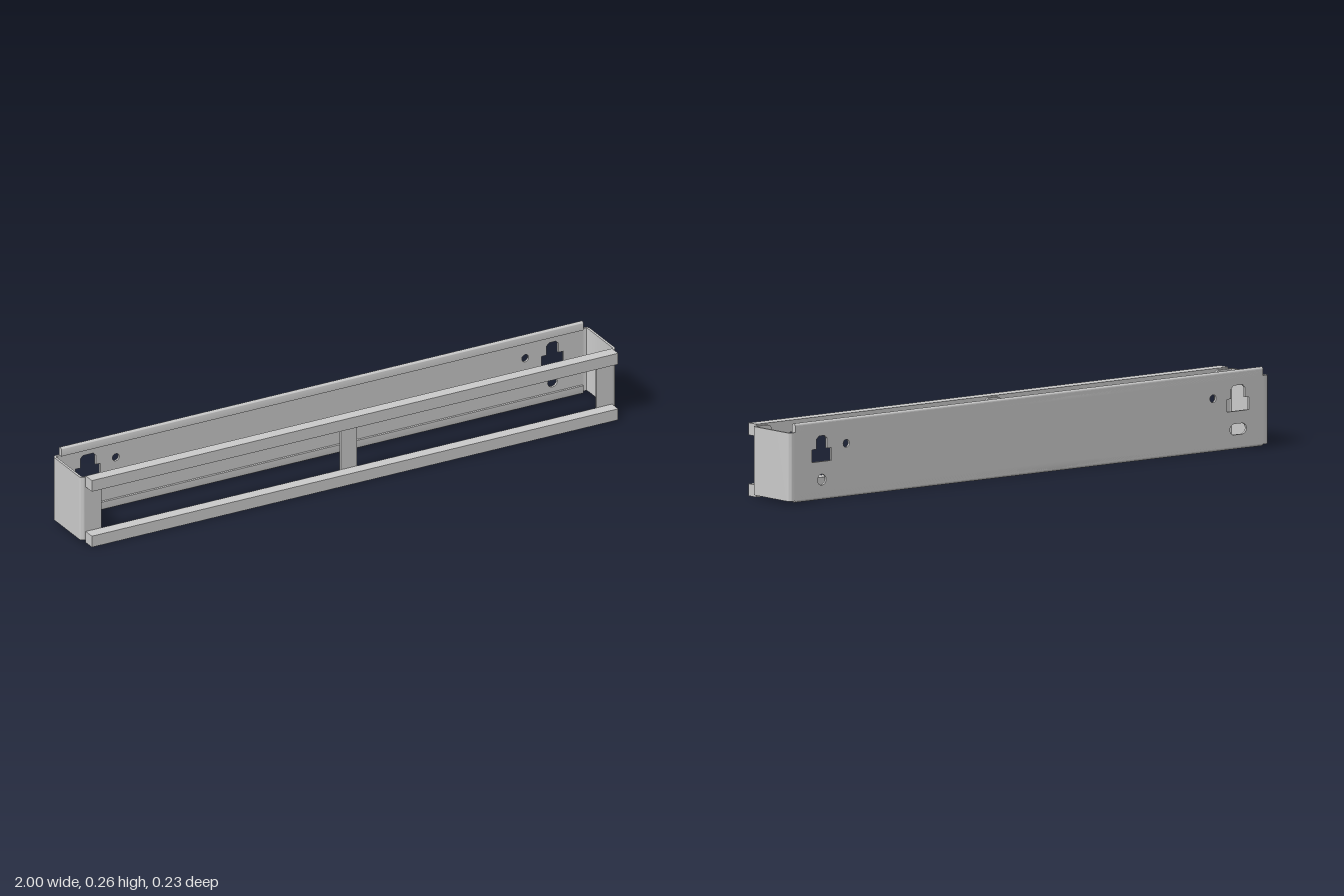
import * as THREE from 'three';
import { toCreasedNormals } from 'three/addons/utils/BufferGeometryUtils.js';

const T = 0.008;                       // sheet thickness
const BACK = -0.116, FRONT = 0.077;    // outer faces of the bent sheet
const LOW = 0.01, HIGH = 0.236;        // height range of the end walls
const END = 0.975;                     // half length of the flat back sheet

export function createModel() {
  const model = new THREE.Group();
  model.name = 'mountingFrame';
  const material = new THREE.MeshStandardMaterial({ color: 0xcccccc });

  const add = (name, geometry) => {
    const mesh = new THREE.Mesh(geometry, material);
    mesh.name = name;
    model.add(mesh);
    return mesh;
  };
  const extrude = (shape, depth) => toCreasedNormals(
    new THREE.ExtrudeGeometry(shape, { depth, bevelEnabled: false, curveSegments: 10 }), 0.6);
  const polygon = (points) => new THREE.Path(points.map(([x, y]) => new THREE.Vector2(x, y)));
  const circle = (x, y, r) => new THREE.Path().absarc(x, y, r, 0, Math.PI * 2, true);

  // Stepped hanging hole: wide below, narrow above
  const hangingHole = (x, wide, narrow) => polygon([
    [x - wide, 0.13], [x + wide, 0.13], [x + wide, 0.172], [x + narrow, 0.172],
    [x + narrow, 0.205], [x + narrow - 0.01, 0.215], [x - narrow + 0.01, 0.215],
    [x - narrow, 0.205], [x - narrow, 0.172], [x - wide, 0.172]]);

  // Back sheet with its mounting holes
  const back = new THREE.Shape([
    [-END, 0.012], [END, 0.012], [END, 0.257], [-END, 0.257],
  ].map(([x, y]) => new THREE.Vector2(x, y)));
  const slot = new THREE.Path();
  slot.absarc(-0.888, 0.07, 0.018, Math.PI / 2, Math.PI * 1.5, false);
  slot.absarc(-0.855, 0.07, 0.018, -Math.PI / 2, Math.PI / 2, false);
  back.holes.push(
    hangingHole(-0.871, 0.046, 0.029), hangingHole(0.864, 0.041, 0.022),
    slot, circle(0.864, 0.07, 0.018),
    circle(-0.767, 0.18, 0.013), circle(0.762, 0.18, 0.013));
  add('backSheet', extrude(back, T)).position.z = BACK;

  // Folded hems along the top and bottom of the back sheet
  const hem = (name, edge, dir) => {
    const r = 0.008, c = edge - dir * r, inner = edge - dir * 0.03;
    const s = new THREE.Shape();
    s.moveTo(-r, inner);
    s.lineTo(-r, c);
    s.absarc(0, c, r, Math.PI, 0, dir > 0);
    s.lineTo(r, inner);
    const g = extrude(s, END * 2);
    g.rotateY(Math.PI / 2);
    add(name, g).position.set(-END, 0, BACK + r);
  };
  hem('topHem', 0.265, 1);
  hem('bottomHem', 0.004, -1);

  // Upright strip with chosen rounded sides, lying in the front plane
  const strip = (name, x0, x1, r0, r1) => {
    const s = new THREE.Shape();
    s.moveTo(x0 + r0, LOW);
    s.lineTo(x1 - r1, LOW);
    s.quadraticCurveTo(x1, LOW, x1, LOW + r1);
    s.lineTo(x1, HIGH - r1);
    s.quadraticCurveTo(x1, HIGH, x1 - r1, HIGH);
    s.lineTo(x0 + r0, HIGH);
    s.quadraticCurveTo(x0, HIGH, x0, HIGH - r0);
    s.lineTo(x0, LOW + r0);
    s.quadraticCurveTo(x0, LOW, x0 + r0, LOW);
    add(name, extrude(s, T)).position.z = FRONT - T;
  };
  strip('centreStrip', -0.03, 0.03, 0.015, 0.015);
  strip('leftFlange', 0.925, 0.985, 0.02, 0);
  strip('rightFlange', -0.985, -0.925, 0, 0.02);

  // End walls with rounded bends into the back sheet and front flange
  for (const [side, label] of [[1, 'left'], [-1, 'right']]) {
    const s = new THREE.Shape();
    const line = (x, z) => s.lineTo(side * x, -z);
    const bend = (cx, cz, x, z) => s.quadraticCurveTo(side * cx, -cz, side * x, -z);
    s.moveTo(side * END, -BACK);
    line(0.985, BACK);
    bend(1, BACK, 1, BACK + 0.015);
    line(1, FRONT - 0.015);
    bend(1, FRONT, 0.985, FRONT);
    line(0.985, FRONT - T);
    bend(1 - T, FRONT - T, 1 - T, FRONT - 0.015);
    line(1 - T, BACK + 0.015);
    bend(1 - T, BACK + T, 0.985, BACK + T);
    line(END, BACK + T);
    const g = extrude(s, HIGH - LOW);
    g.rotateX(-Math.PI / 2);
    add(label + 'EndWall', g).position.y = LOW;
  }

  // Square front rails
  for (const [name, y] of [['bottomRail', 0.02], ['topRail', 0.221]]) {
    add(name, new THREE.BoxGeometry(1.966, 0.04, 0.041)).position.set(0, y, 0.0975);
  }
  return model;
}
